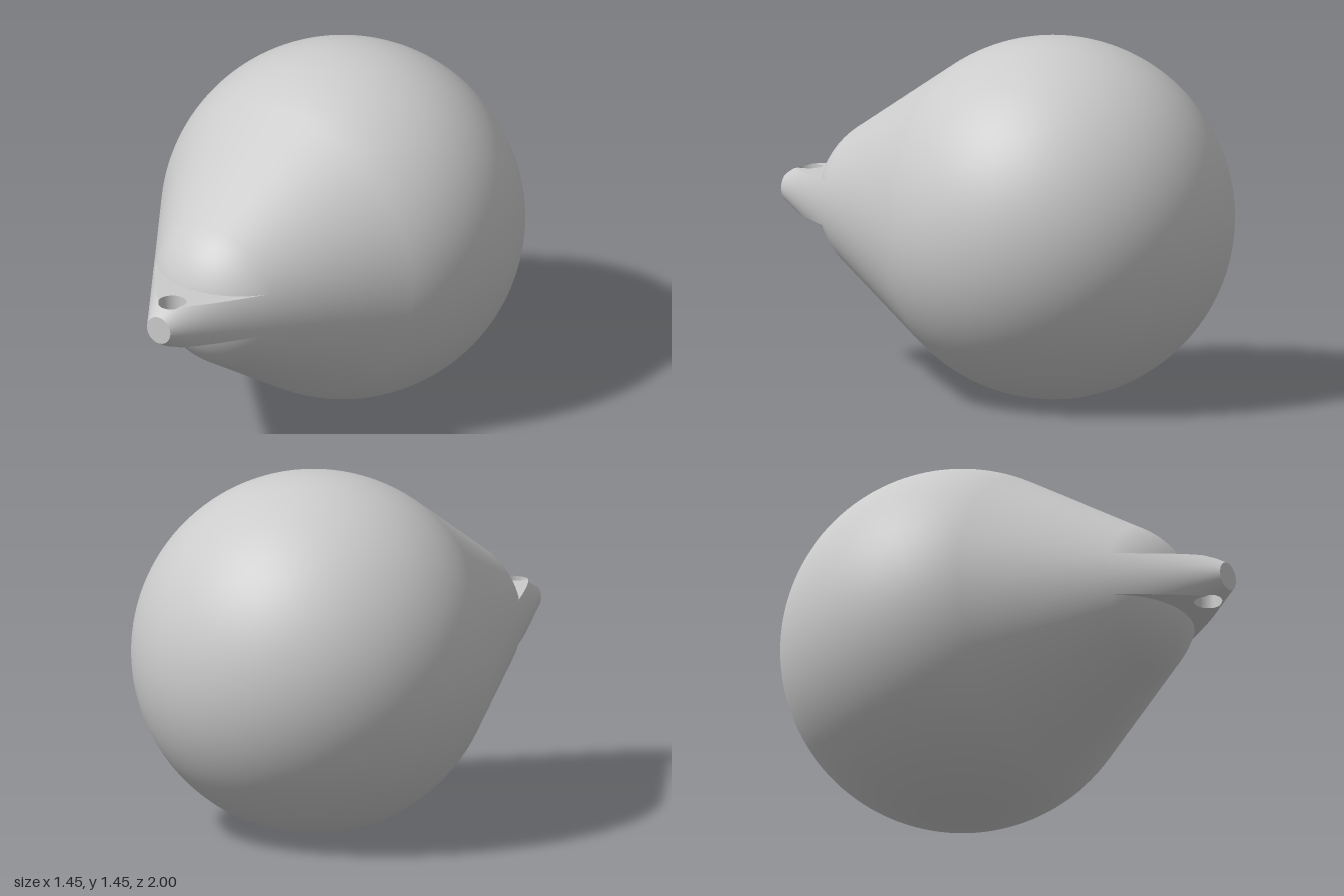
import * as THREE from 'three';

const R = 0.727, ZC = -0.273;             // big rear sphere
const K = 0.63, TIP = 0.057;              // cone slope and tip radius at z = 1
const NOSE_R = 0.349, NOSE_Z = 0.435;     // rounded nose inside the cone
const H = 0.09, BACK = 0.62;              // lug half thickness and rear end
const HOLE_R = 0.056, HOLE_Z = 0.905;     // vertical eyelet
const ANGLE = Math.atan(K);
const coneRadius = z => TIP + K * (1 - z);

// Grid surface from fn(i, j) -> { p, n }; each triangle is wound to face along n
function grid(nu, nv, fn) {
  const pos = [], nor = [], idx = [], P = [], N = [];
  for (let i = 0; i <= nu; i++) for (let j = 0; j <= nv; j++) {
    const { p, n } = fn(i, j);
    P.push(p); N.push(n);
    pos.push(...p.toArray()); nor.push(...n.toArray());
  }
  const tri = (a, b, c) => {
    const f = P[b].clone().sub(P[a]).cross(P[c].clone().sub(P[a]));
    if (f.length() < 1e-12) return;
    const avg = N[a].clone().add(N[b]).add(N[c]);
    idx.push(...(f.dot(avg) > 0 ? [a, b, c] : [a, c, b]));
  };
  for (let i = 0; i < nu; i++) for (let j = 0; j < nv; j++) {
    const a = i * (nv + 1) + j, b = a + nv + 1;
    tri(a, b, b + 1);
    tri(a, b + 1, a + 1);
  }
  const g = new THREE.BufferGeometry();
  g.setAttribute('position', new THREE.Float32BufferAttribute(pos, 3));
  g.setAttribute('normal', new THREE.Float32BufferAttribute(nor, 3));
  g.setIndex(idx);
  return g;
}

// Plan ray from the eyelet centre: distances to the flat's edge and the lug outline
function makeRay(a) {
  const dx = Math.sin(a), dz = Math.cos(a);
  const at = t => ({ x: dx * t, z: HOLE_Z + dz * t });
  let out = coneRadius(HOLE_Z) / (Math.abs(dx) + K * dz);
  if (out <= 0) out = Infinity;
  if (dz > 1e-9) out = Math.min(out, (1 - HOLE_Z) / dz);
  if (dz < -1e-9) out = Math.min(out, (BACK - HOLE_Z) / dz);
  const rise = t => {
    const { x, z } = at(t);
    return Math.sqrt(Math.max(0, coneRadius(z) ** 2 - x * x));
  };
  let edge = out;
  if (rise(HOLE_R) <= H) edge = HOLE_R;
  else if (rise(out) < H) {
    let lo = HOLE_R, hi = out;
    for (let k = 0; k < 40; k++) {
      const m = (lo + hi) / 2;
      if (rise(m) > H) lo = m; else hi = m;
    }
    edge = lo;
  }
  return { at, out, edge, rise, dx, dz };
}

export function createModel() {
  const group = new THREE.Group();
  const mat = new THREE.MeshStandardMaterial({ color: 0xcccccc });
  const add = (name, geo, parent = group) => {
    const m = new THREE.Mesh(geo, mat);
    m.name = name;
    parent.add(m);
    return m;
  };

  // Body: rear sphere, tangent cone, tangent nose
  const profile = [];
  const arc = (r, zc, from, to, n) => {
    for (let i = 0; i <= n; i++) {
      const t = from + (to - from) * i / n;
      profile.push(new THREE.Vector2(Math.max(0, r * Math.cos(t)), zc + r * Math.sin(t)));
    }
  };
  arc(R, ZC, -Math.PI / 2, ANGLE, 56);
  arc(NOSE_R, NOSE_Z, ANGLE, Math.PI / 2, 24);
  add('body', new THREE.LatheGeometry(profile, 128).rotateX(Math.PI / 2));

  // Lug: the cone's tip sliced flat above and below, with an eyelet through it
  const lug = new THREE.Group();
  lug.name = 'lug';
  group.add(lug);
  const angles = [];
  for (let i = 0; i <= 144; i++) angles.push(-Math.PI + i * Math.PI / 72);
  for (const s of [-1, 1]) {
    angles.push(s * Math.atan2(TIP, 1 - HOLE_Z), s * Math.atan2(coneRadius(BACK), BACK - HOLE_Z));
  }
  angles.sort((a, b) => a - b);
  const rays = angles.map(makeRay);
  const nu = rays.length - 1;

  for (const [s, side] of [[1, 'upper'], [-1, 'lower']]) {
    add(side + 'Flat', grid(nu, 1, (i, j) => {
      const { x, z } = rays[i].at(j ? rays[i].edge : HOLE_R);
      return { p: new THREE.Vector3(x, s * H, z), n: new THREE.Vector3(0, s, 0) };
    }), lug);

    // Remaining cone surface from the flat's edge out to the mid plane
    add(side + 'Flank', grid(nu, 12, (i, j) => {
      const r = rays[i];
      const t = r.edge + (r.out - r.edge) * Math.sin(j / 12 * Math.PI / 2);
      const { x, z } = r.at(t), y = s * Math.min(H, r.rise(t));
      const n = new THREE.Vector3(x, y, K * coneRadius(z)).normalize();
      return { p: new THREE.Vector3(x, y, z), n };
    }), lug);
  }

  add('eyeletWall', grid(nu, 1, (i, j) => {
    const r = rays[i], { x, z } = r.at(HOLE_R);
    const y = (j ? 1 : -1) * Math.min(H, r.rise(HOLE_R));
    return { p: new THREE.Vector3(x, y, z), n: new THREE.Vector3(-r.dx, 0, -r.dz) };
  }), lug);

  add('tipCap', new THREE.CircleGeometry(TIP, 48), lug).position.z = 1;

  group.position.y = R;
  return group;
}
